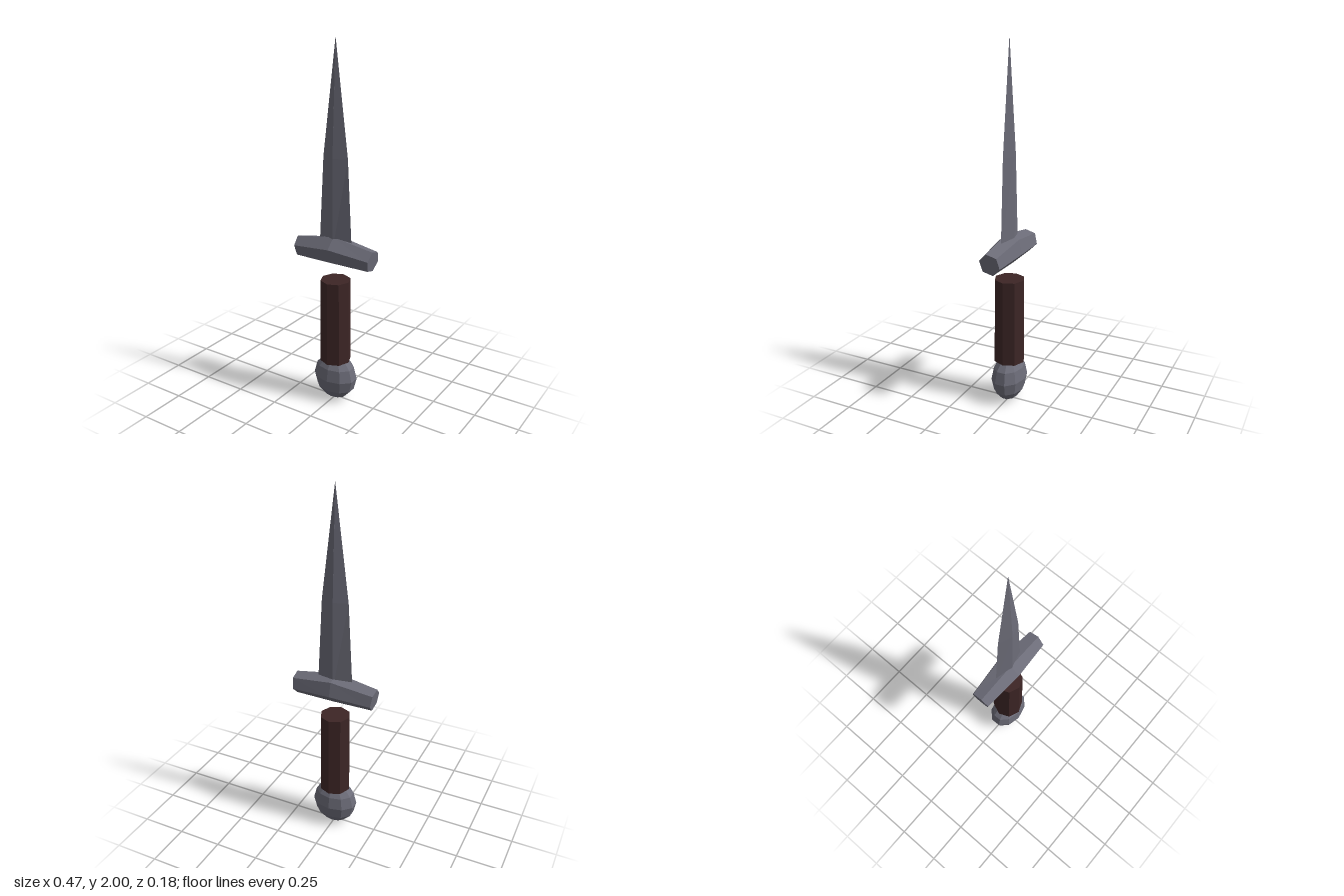
import * as THREE from 'three';

// Joins rings of points (counter-clockwise seen from the far end) into a closed solid
function loft(rings) {
  const n = rings[0].length;
  const index = [];
  for (let i = 0; i < rings.length - 1; i++) {
    for (let j = 0; j < n; j++) {
      const k = (j + 1) % n;
      const a = i * n + j, b = i * n + k, c = b + n, d = a + n;
      index.push(a, b, c, a, c, d);
    }
  }
  const last = (rings.length - 1) * n;
  for (let j = 1; j < n - 1; j++) {
    index.push(0, j + 1, j);
    index.push(last, last + j, last + j + 1);
  }
  const indexed = new THREE.BufferGeometry();
  indexed.setAttribute('position', new THREE.Float32BufferAttribute(rings.flat(2), 3));
  indexed.setIndex(index);
  return flat(indexed);
}

// Separate faces give crisp facets
function flat(geometry) {
  const g = geometry.toNonIndexed();
  g.computeVertexNormals();
  return g;
}

export function createModel() {
  const steel = new THREE.MeshStandardMaterial({ color: 0x6c6c78 });
  steel.name = 'steel';
  const leather = new THREE.MeshStandardMaterial({ color: 0x3d2626 });
  leather.name = 'dark leather';
  steel.flatShading = leather.flatShading = true;

  const model = new THREE.Group();
  model.name = 'dagger';
  const add = (name, geometry, material) => {
    const mesh = new THREE.Mesh(geometry, material);
    mesh.name = name;
    model.add(mesh);
  };

  // Blade: diamond sections [y, half width, half thickness] running to a point
  const diamond = ([y, w, t]) => [[w, y, 0], [0, y, -t], [-w, y, 0], [0, y, t]];
  add('blade', loft([
    [0.9, 0.102, 0.03], [1.4, 0.075, 0.029], [2, 0.0005, 0.0005],
  ].map(diamond)), steel);

  // Crossguard: turned hexagon, thickest at the middle, with drooping slanted ends
  const hexagon = ([x, y, r, slant]) => Array.from({ length: 6 }, (_, i) => {
    const a = THREE.MathUtils.degToRad(15 - 60 * i);
    const dy = r * Math.sin(a);
    return [x + slant * dy, y + dy, r * Math.cos(a)];
  });
  add('crossguard', loft([
    [-0.23, 0.877, 0.06, -0.12], [0, 0.897, 0.08, 0], [0.23, 0.877, 0.06, 0.12],
  ].map(hexagon)), steel);

  // Grip: eight-sided, a little wider at the foot
  const grip = new THREE.CylinderGeometry(0.083, 0.087, 0.485, 8);
  grip.translate(0, 0.4825, 0);
  add('grip', flat(grip), leather);

  // Pommel: faceted ball flattened front to back
  const pommel = new THREE.SphereGeometry(1, 10, 6);
  pommel.rotateY(Math.PI / 2);
  pommel.scale(0.13, 0.135, 0.092);
  pommel.translate(0, 0.135, 0);
  add('pommel', flat(pommel), steel);

  return model;
}
